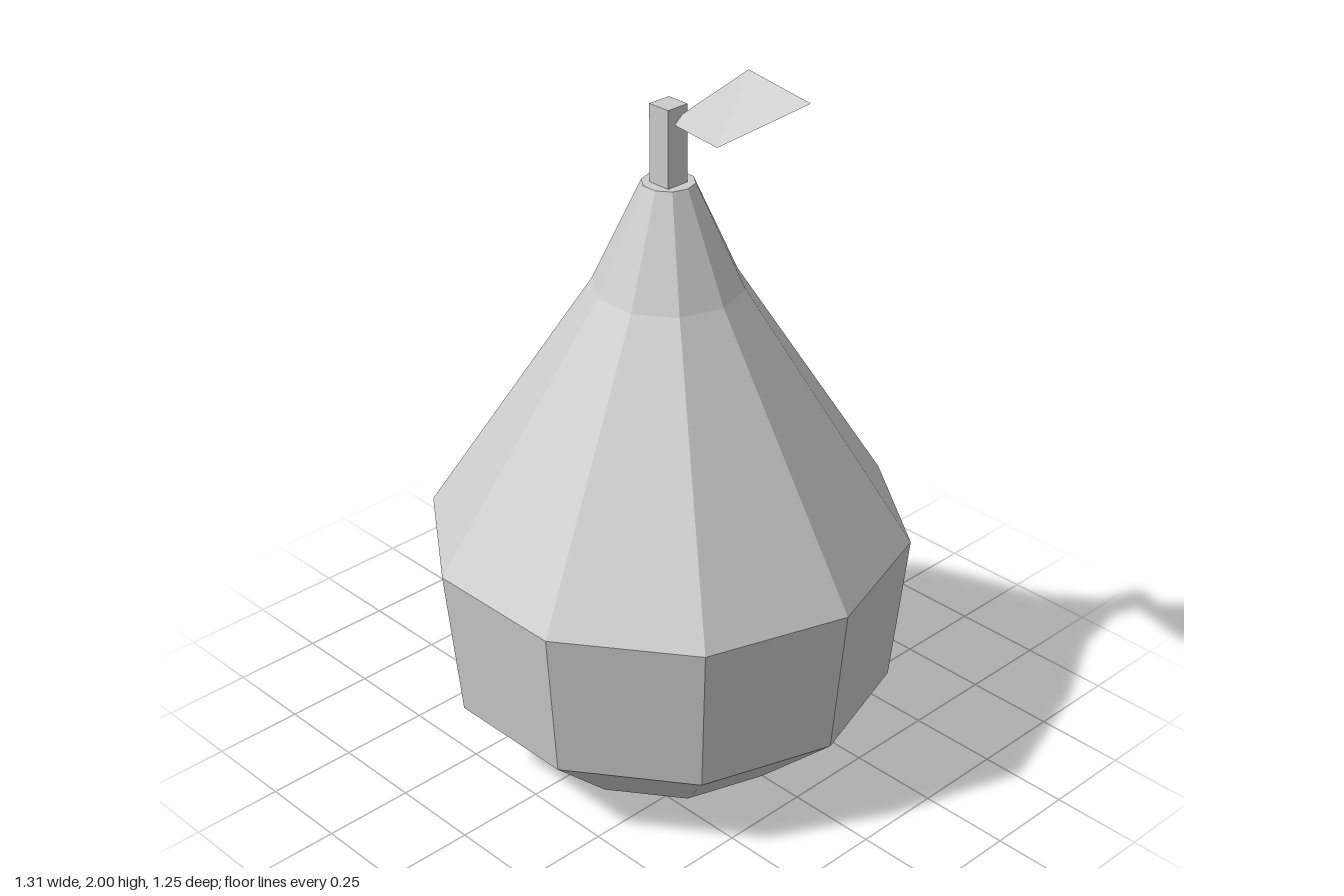
import * as THREE from 'three';

export function createModel() {
  const group = new THREE.Group();
  const grey = new THREE.MeshStandardMaterial({ color: 0xcccccc, flatShading: true, side: THREE.DoubleSide });
  grey.name = 'light grey';

  const add = (name, geometry) => {
    const mesh = new THREE.Mesh(geometry, grey);
    mesh.name = name;
    group.add(mesh);
    return mesh;
  };

  // Ten-sided body of the fruit, with a corner on the x axis
  const profile = [[0, 0], [0.37, 0], [0.612, 0.23], [0.655, 0.658], [0.2, 1.37], [0.07, 1.655], [0, 1.655]]
    .map(([r, y]) => new THREE.Vector2(r, y));
  add('body', new THREE.LatheGeometry(profile, 10, Math.PI / 2));

  // Square stem
  add('stem', new THREE.BoxGeometry(0.067, 0.21, 0.067)).position.set(0.004, 1.76, 0.004);

  // Tilted single leaf: narrow base, two side corners and a tip
  const leaf = new THREE.BufferGeometry();
  leaf.setAttribute('position', new THREE.Float32BufferAttribute([
    0.037, 1.82, 0.015,
    0.26, 1.85, 0.09,
    0.475, 2, 0,
    0.205, 1.99, -0.07,
    0.037, 1.842, -0.012,
  ], 3));
  leaf.setIndex([0, 1, 3, 1, 2, 3, 0, 3, 4]);
  leaf.computeVertexNormals();
  add('leaf', leaf);

  return group;
}
